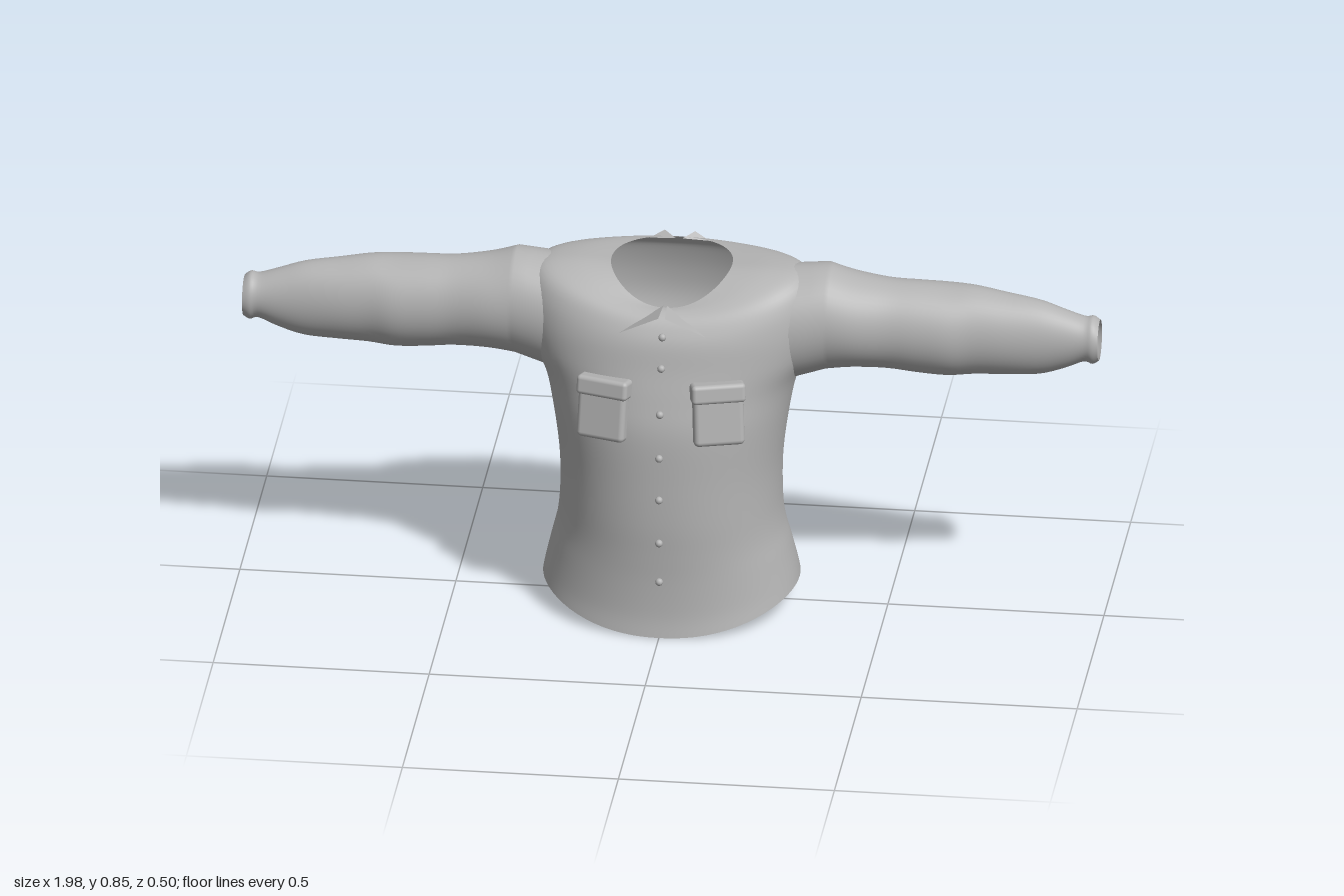
import * as THREE from 'three';
import { RoundedBoxGeometry } from 'three/addons/geometries/RoundedBoxGeometry.js';

const SEG = 72, SQUARE = 0.93;

// Torso sections: half width, front z, back z, height at sides, front, back
const TORSO = [
  [0.296, 0.245, -0.252, 0.06, 0, 0],
  [0.29, 0.238, -0.248, 0.09, 0.05, 0.05],
  [0.276, 0.236, -0.21, 0.15, 0.13, 0.14],
  [0.262, 0.238, -0.162, 0.21, 0.2, 0.21],
  [0.256, 0.241, -0.145, 0.28, 0.28, 0.28],
  [0.258, 0.24, -0.143, 0.38, 0.38, 0.38],
  [0.274, 0.236, -0.147, 0.5, 0.5, 0.5],
  [0.292, 0.22, -0.172, 0.58, 0.58, 0.58],
  [0.325, 0.202, -0.196, 0.65, 0.65, 0.66],
  [0.34, 0.188, -0.195, 0.72, 0.71, 0.73],
  [0.335, 0.172, -0.18, 0.79, 0.745, 0.795],
  [0.305, 0.155, -0.166, 0.835, 0.768, 0.818],
  [0.23, 0.136, -0.152, 0.848, 0.78, 0.834],
  [0.14, 0.12, -0.14, 0.845, 0.782, 0.84],
];

// Sleeve sections: x, lowest y, highest y, back z, front z
const SLEEVE = [
  [0.36, 0.597, 0.85, -0.122, 0.1],
  [0.42, 0.605, 0.832, -0.117, 0.095],
  [0.5, 0.605, 0.82, -0.104, 0.082],
  [0.57, 0.597, 0.816, -0.108, 0.08],
  [0.64, 0.592, 0.812, -0.114, 0.078],
  [0.7, 0.598, 0.81, -0.1, 0.068],
  [0.77, 0.602, 0.8, -0.086, 0.062],
  [0.85, 0.608, 0.788, -0.07, 0.054],
  [0.91, 0.628, 0.77, -0.055, 0.048],
  [0.955, 0.648, 0.756, -0.048, 0.044],
  [0.975, 0.643, 0.758, -0.05, 0.046],
  [0.99, 0.652, 0.748, -0.046, 0.043],
];

// Armhole ellipse in the z-y plane
const ARM = { y: 0.707, z: -0.01, ry: 0.135, rz: 0.122 };

// Smoothly subdivide a list of sections
function refine(rows, steps) {
  const out = [];
  for (let i = 0; i < rows.length - 1; i++) {
    const [a, b, c, d] = [-1, 0, 1, 2].map(k => rows[Math.min(rows.length - 1, Math.max(0, i + k))]);
    for (let s = 0; s < steps; s++) {
      const t = s / steps;
      out.push(b.map((v, k) => v + 0.5 * t * (c[k] - a[k] + t * (2 * a[k] - 5 * v + 4 * c[k] - d[k]
        + t * (3 * (v - c[k]) + d[k] - a[k])))));
    }
  }
  out.push(rows[rows.length - 1]);
  return out;
}

// Skin closed rings of points; the ends stay open
function loft(rings, keep = () => true) {
  const pos = rings.flat(2), index = [], n = rings[0].length;
  for (let i = 0; i < rings.length - 1; i++) {
    for (let j = 0; j < n; j++) {
      const a = i * n + j, b = i * n + (j + 1) % n;
      if (keep(rings[i][j])) index.push(a, a + n, b, b, a + n, b + n);
    }
  }
  const geo = new THREE.BufferGeometry();
  geo.setAttribute('position', new THREE.Float32BufferAttribute(pos, 3));
  geo.setIndex(index);
  geo.computeVertexNormals();
  return geo;
}

const soft = v => Math.sign(v) * Math.abs(v) ** SQUARE;
const torsoRows = refine(TORSO, 5);

function torsoRing([w, zf, zb, ys, yf, yb]) {
  return Array.from({ length: SEG }, (_, j) => {
    const a = j / SEG * Math.PI * 2, s = Math.sin(a);
    return [w * soft(Math.cos(a)), ys + ((s > 0 ? yf : yb) - ys) * s * s, (s > 0 ? zf : -zb) * soft(s)];
  });
}

// Torso section at a height, searched by the side (3) or front (4) column
function sectionAt(y, column) {
  let i = 0;
  while (i < torsoRows.length - 2 && torsoRows[i + 1][column] < y) i++;
  const a = torsoRows[i], b = torsoRows[i + 1];
  const t = THREE.MathUtils.clamp((y - a[column]) / (b[column] - a[column]), 0, 1);
  return a.map((v, k) => v + (b[k] - v) * t);
}
const arc = r => Math.max(0, 1 - Math.abs(r) ** (2 / SQUARE)) ** (SQUARE / 2);
function frontZ(x, y) {
  const [w, zf] = sectionAt(y, 4);
  return zf * arc(x / w);
}
function sideX(y, z) {
  const [w, zf, zb] = sectionAt(y, 3);
  return w * arc(z / (z > 0 ? zf : zb));
}

function sleeveGeometry(side) {
  const angles = Array.from({ length: 48 }, (_, j) => side * j / 48 * Math.PI * 2);
  // The first ring follows the torso surface around the armhole
  const root = angles.map(a => {
    const y = ARM.y + ARM.ry * Math.cos(a), z = ARM.z - ARM.rz * Math.sin(a);
    return [side * (sideX(y, z) - 0.008), y, z];
  });
  const rings = refine(SLEEVE, 4).map(([x, lo, hi, zb, zf]) => angles.map(a => [
    side * x, (lo + hi) / 2 + (hi - lo) / 2 * Math.cos(a), (zf + zb) / 2 - (zf - zb) / 2 * Math.sin(a)]));
  const middle = root.map((p, j) => p.map((v, k) => (v + rings[0][j][k]) / 2));
  return loft([root, middle, ...rings]);
}

function triangle(points) {
  const geo = new THREE.BufferGeometry();
  geo.setAttribute('position', new THREE.Float32BufferAttribute(points.flat(), 3));
  geo.computeVertexNormals();
  return geo;
}

export function createModel() {
  const group = new THREE.Group();
  group.name = 'shirt';
  const cloth = new THREE.MeshStandardMaterial({ color: 0xb4b4b4, side: THREE.DoubleSide });
  cloth.name = 'grey cloth';
  const add = (name, geo, parent = group) => {
    const mesh = new THREE.Mesh(geo, cloth);
    mesh.name = name;
    parent.add(mesh);
    return mesh;
  };

  // Body with open hem, neck and armholes
  const outsideArm = ([x, y, z]) => Math.abs(x) < 0.2 ||
    Math.hypot((y - ARM.y) / ARM.ry, (z - ARM.z) / ARM.rz) > 0.9;
  add('body', loft(torsoRows.map(torsoRing), outsideArm));

  for (const side of [1, -1]) {
    const label = side > 0 ? 'left' : 'right';
    add(label + 'Sleeve', sleeveGeometry(side));

    // Chest pocket with overlapping flap
    const pocket = new THREE.Group();
    pocket.name = label + 'Pocket';
    pocket.position.set(side * 0.133, 0.562, frontZ(0.133, 0.562) + 0.006);
    pocket.rotation.set(-0.14, side * 0.28, 0, 'YXZ');
    add('pocketBag', new RoundedBoxGeometry(0.118, 0.14, 0.036, 3, 0.012), pocket).position.y = -0.004;
    add('pocketFlap', new RoundedBoxGeometry(0.126, 0.046, 0.046, 3, 0.01), pocket).position.y = 0.052;
    group.add(pocket);

    // Collar points at the throat and nape
    add(label + 'CollarPoint', triangle(
      [[side * 0.004, 0.79, 0.125], [side * 0.1, 0.742, 0.183], [side * 0.008, 0.789, 0.195]]));
    add(label + 'NapePoint', triangle(
      [[side * 0.008, 0.838, -0.135], [side * 0.07, 0.832, -0.142], [side * 0.035, 0.85, -0.152]]));
  }

  // Button row
  for (const y of [0.14, 0.24, 0.35, 0.455, 0.56, 0.665, 0.735]) {
    add('button', new THREE.SphereGeometry(0.009, 12, 8)).position.set(0, y, frontZ(0, y) + 0.003);
  }
  return group;
}
